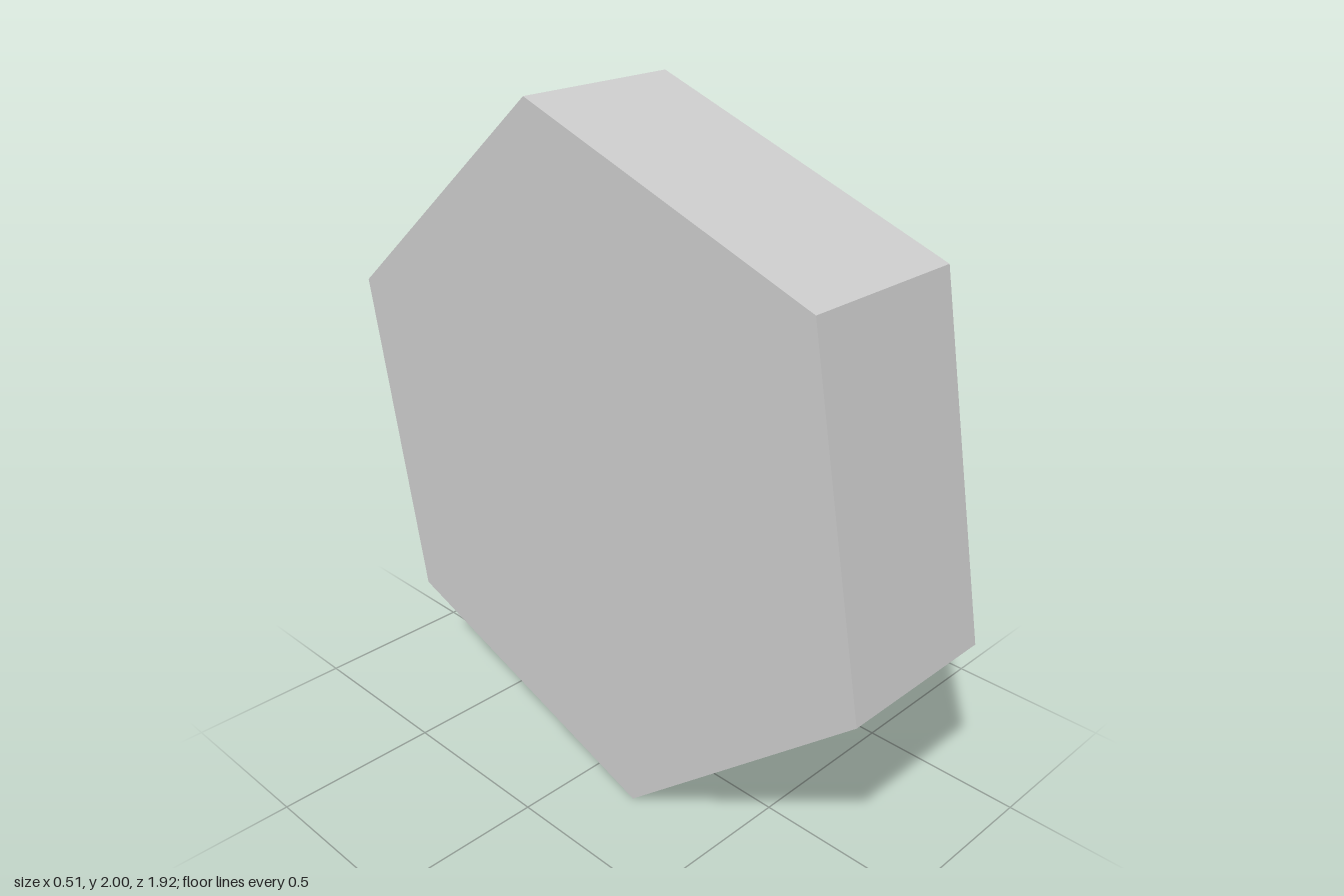
import * as THREE from 'three';

export function createModel() {
  const group = new THREE.Group();
  group.name = 'hexagonalPrism';

  // Regular hexagonal slab lying along x, tilted slightly about its axis
  const tilt = THREE.MathUtils.degToRad(40.8);
  const radius = 1.018;
  const thickness = 0.51;
  const geometry = new THREE.CylinderGeometry(radius, radius, thickness, 6, 1, false, -tilt);
  geometry.rotateZ(-Math.PI / 2);

  const slab = new THREE.Mesh(
    geometry,
    new THREE.MeshStandardMaterial({ color: 0xcccccc, flatShading: true })
  );
  slab.name = 'hexagonalSlab';
  slab.position.y = 1;
  group.add(slab);

  return group;
}
